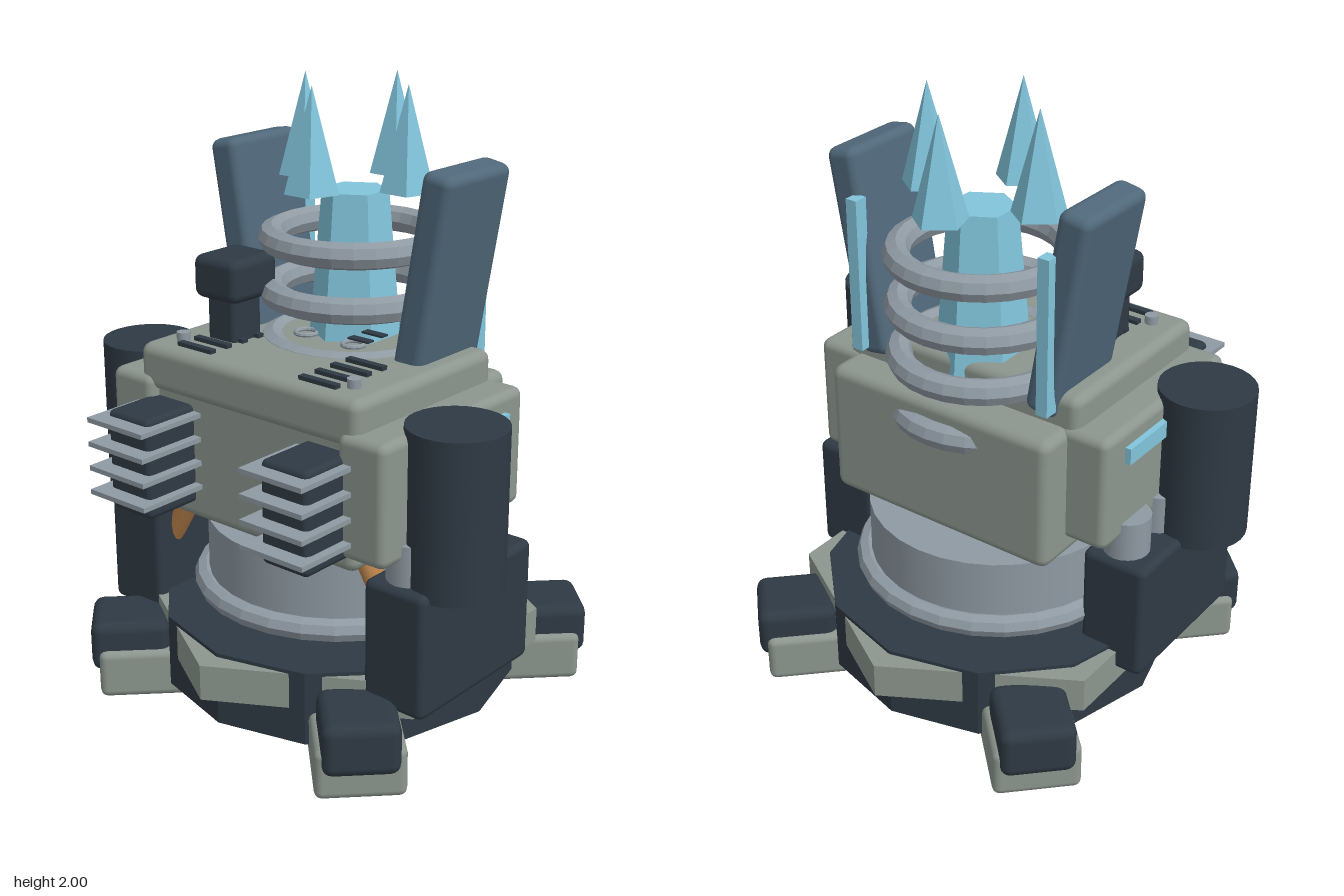
import * as THREE from 'three';
import { RoundedBoxGeometry } from 'three/addons/geometries/RoundedBoxGeometry.js';

const mat = (color, flatShading = false) => {
  const m = new THREE.MeshStandardMaterial({ color });
  m.flatShading = flatShading;
  return m;
};
const PLATE = mat(0x8c968e), PLATE_FLAT = mat(0x8c968e, true);
const DARK = mat(0x2f3a44), DARK_FLAT = mat(0x2f3a44, true);
const STEEL = mat(0x8f9aa3), STEEL_FLAT = mat(0x8f9aa3, true);
const FIN = mat(0x50687a);
const GLOW = mat(0x82c5dc, true);
const ORANGE = mat(0xb57f48);

const BASE_Z = -0.01; // centre of base and turntable
const CORE_Z = -0.09; // centre of core, coils and spikes

export function createModel() {
  const model = new THREE.Group();
  model.name = 'energyTurret';

  function add(name, geometry, material, x, y, z, parent = model) {
    const mesh = new THREE.Mesh(geometry, material);
    mesh.name = name;
    mesh.position.set(x, y, z);
    parent.add(mesh);
    return mesh;
  }
  // boxes are given by their limits: [x0, x1], [y0, y1], [z0, z1]
  function box(name, material, [x0, x1], [y0, y1], [z0, z1], radius = 0, parent = model) {
    const size = [x1 - x0, y1 - y0, z1 - z0];
    const geometry = radius ? new RoundedBoxGeometry(...size, 2, radius) : new THREE.BoxGeometry(...size);
    return add(name, geometry, material, (x0 + x1) / 2, (y0 + y1) / 2, (z0 + z1) / 2, parent);
  }
  function prism(name, material, rTop, rBottom, [y0, y1], sides, x, z) {
    return add(name, new THREE.CylinderGeometry(rTop, rBottom, y1 - y0, sides), material, x, (y0 + y1) / 2, z);
  }
  function ring(name, radius, tube, y, z, x = 0, segments = 28) {
    const geometry = new THREE.TorusGeometry(radius, tube, 8, segments).rotateX(Math.PI / 2);
    return add(name, geometry, STEEL_FLAT, x, y, z);
  }

  // base: twelve-sided drum whose corners break through a hexagonal collar
  prism('baseDrum', DARK_FLAT, 0.588, 0.588, [0.055, 0.3], 12, 0, BASE_Z);
  prism('baseCollar', PLATE_FLAT, 0.663, 0.663, [0.17, 0.288], 6, 0, BASE_Z);

  // four diagonal feet
  for (let i = 0; i < 4; i++) {
    const foot = new THREE.Group();
    foot.name = 'foot';
    foot.position.z = BASE_Z;
    foot.rotation.y = Math.PI / 4 + i * Math.PI / 2;
    box('footPad', PLATE, [-0.14, 0.14], [0, 0.165], [0.46, 0.8], 0.025, foot);
    box('footCap', DARK, [-0.12, 0.12], [0.085, 0.257], [0.565, 0.825], 0.035, foot);
    model.add(foot);
  }

  // turntable
  prism('turntable', STEEL, 0.43, 0.43, [0.36, 0.6], 32, 0, BASE_Z);
  ring('turntableRing', 0.442, 0.038, 0.377, BASE_Z);

  // body
  box('bodyLower', PLATE, [-0.42, 0.42], [0.635, 1.085], [-0.347, 0.42], 0.035);
  box('bodyUpper', PLATE, [-0.447, 0.447], [1.04, 1.19], [-0.225, 0.44], 0.035);

  // core and coils
  prism('core', GLOW, 0.107, 0.157, [1.08, 1.655], 6, 0, CORE_Z);
  for (let i = 0; i < 4; i++) ring('coil', 0.265, 0.043, 1.505 - i * 0.172, CORE_Z);

  // floating spikes
  for (let i = 0; i < 4; i++) {
    const a = i * Math.PI / 2;
    const spike = add('spike', new THREE.ConeGeometry(0.088, 0.325, 5), GLOW,
      0.205 * Math.sin(a), 1.8375, CORE_Z + 0.205 * Math.cos(a));
    spike.rotation.y = Math.PI;
  }

  // mirrored parts
  for (const s of [-1, 1]) {
    const span = (a, b) => (s > 0 ? [a, b] : [-b, -a]);

    box('shoulder', PLATE, span(0.38, 0.56), [0.7, 1.09], [-0.237, 0.457], 0.03);
    box('shoulderLight', GLOW, span(0.55, 0.58), [0.975, 1.03], [-0.135, 0.1]);
    prism('sideTank', DARK, 0.155, 0.155, [0.6, 1.11], 28, s * 0.635, 0.213);
    box('sideBlock', DARK, span(0.435, 0.662), [0.22, 0.627], [-0.163, 0.397], 0.025);
    for (const z of [-0.07, 0.115, 0.3]) {
      prism('blockStub', STEEL, 0.075, 0.075, [0.58, 0.757], 20, s * 0.54, z);
    }

    // slanted strut from the body down to the side block
    const strut = prism('strut', ORANGE, 0.036, 0.036, [0.45, 0.71], 12, s * 0.405, 0.3);
    strut.rotation.z = s * 0.55;

    // front radiator with thin fins
    box('radiator', DARK, span(0.23, 0.41), [0.693, 1.022], [0.38, 0.617], 0.02);
    for (let i = 0; i < 4; i++) {
      const y = 0.995 - i * 0.08;
      box('radiatorFin', STEEL, span(0.2, 0.44), [y - 0.008, y + 0.008], [0.4, 0.672]);
    }

    // leaning shield with a light strip behind it
    const shield = add('shield', new RoundedBoxGeometry(0.11, 0.68, 0.32, 2, 0.03), FIN, s * 0.373, 1.445, -0.09);
    shield.rotation.z = -s * 0.17;
    box('shieldLight', GLOW, span(0.335, 0.375), [1.135, 1.645], [-0.282, -0.235]);

    // top deck vents, bolt and cable ring
    for (let i = 0; i < 4; i++) {
      const z = 0.16 + i * 0.072;
      box('vent', DARK, span(0.18, 0.323), [1.18, 1.203], [z - 0.012, z + 0.012]);
    }
    prism('bolt', STEEL, 0.022, 0.022, [1.18, 1.218], 10, s * 0.35, 0.335);
    ring('deckRing', 0.035, 0.008, 1.195, 0.035, s * 0.097, 14);
  }

  // small sensor post on the deck
  box('sensorNeck', DARK, [-0.32, -0.2], [1.17, 1.38], [0.13, 0.26], 0.02);
  box('sensorHead', DARK, [-0.35, -0.165], [1.322, 1.462], [0.088, 0.292], 0.03);
  box('sensorLight', GLOW, [-0.305, -0.265], [1.38, 1.43], [0.07, 0.1]);

  // thin slats beside the core
  for (let i = 0; i < 2; i++) {
    box('deckSlat', DARK, [0.12 + i * 0.055, 0.2 + i * 0.055], [1.23 + i * 0.03, 1.236 + i * 0.03], [0.06, 0.09]);
  }

  return model;
}
